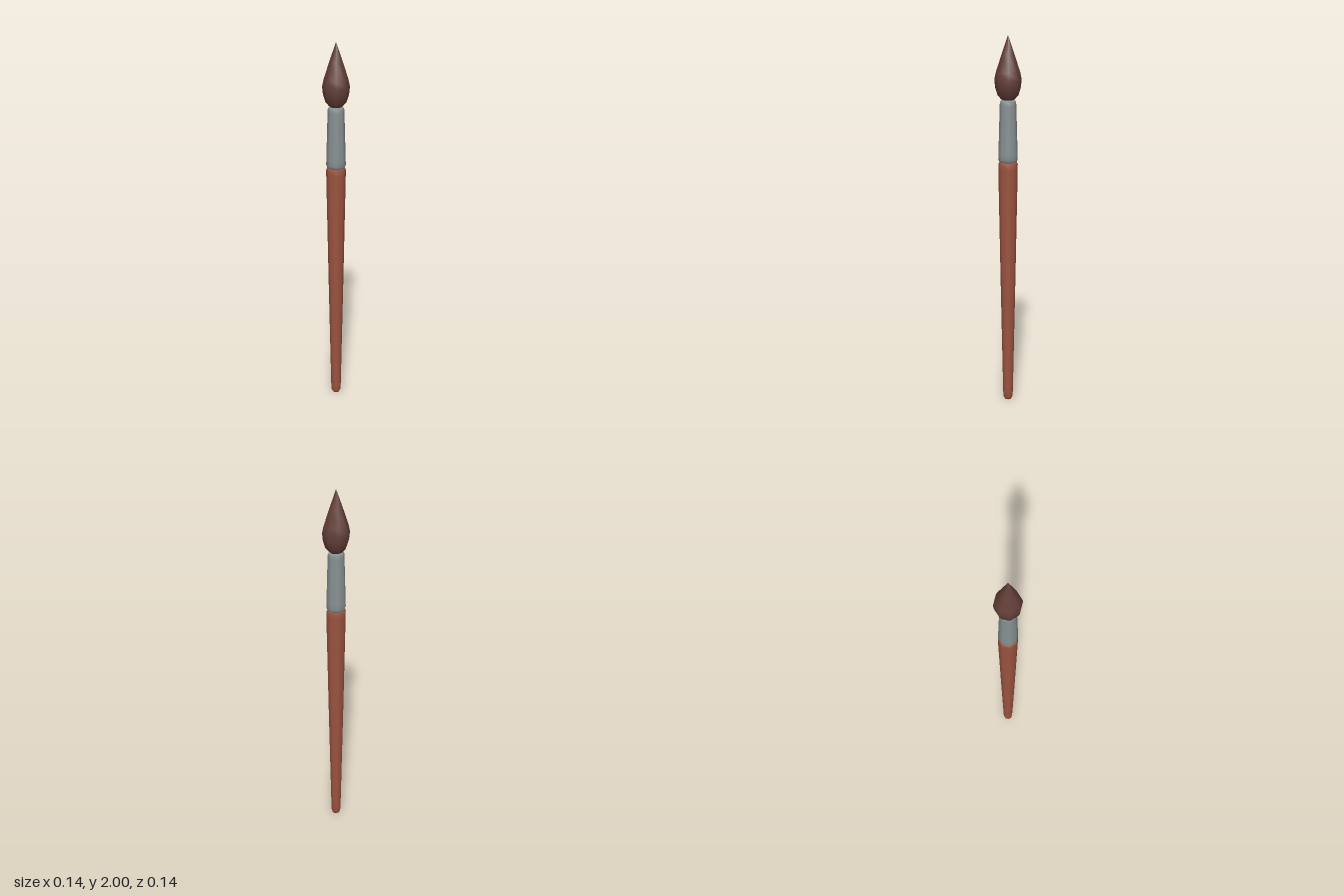
import * as THREE from 'three';

// Eight-sided smooth turned part from a bottom-to-top [radius, y] profile
function turned(name, profile, material) {
  const points = profile.map(([r, y]) => new THREE.Vector2(r, y));
  const mesh = new THREE.Mesh(new THREE.LatheGeometry(points, 8), material);
  mesh.name = name;
  return mesh;
}

function flat(name, color) {
  const material = new THREE.MeshStandardMaterial({ color });
  material.name = name;
  return material;
}

export function createModel() {
  const wood = flat('red brown wood', 0x9c543f);
  const metal = flat('grey metal', 0x879193);
  const hair = flat('dark brown hair', 0x633f38);

  const brush = new THREE.Group();
  brush.name = 'paintbrush';

  // Tapered handle with softened ends
  brush.add(turned('handle', [
    [0, 0], [0.018, 0.002], [0.025, 0.015], [0.027, 0.05],
    [0.04, 0.7], [0.051, 1.31], [0.051, 1.335], [0.045, 1.348], [0, 1.35],
  ], wood));

  // Metal sleeve, narrowing upward
  brush.add(turned('ferrule', [
    [0, 1.342], [0.044, 1.344], [0.051, 1.36], [0.05, 1.39],
    [0.043, 1.64], [0.042, 1.658], [0.037, 1.668], [0, 1.67],
  ], metal));

  // Teardrop bristles ending in a point
  brush.add(turned('bristles', [
    [0, 1.668], [0.034, 1.672], [0.054, 1.695], [0.066, 1.735],
    [0.07, 1.775], [0.063, 1.81], [0.034, 1.9], [0, 2],
  ], hair));

  return brush;
}
